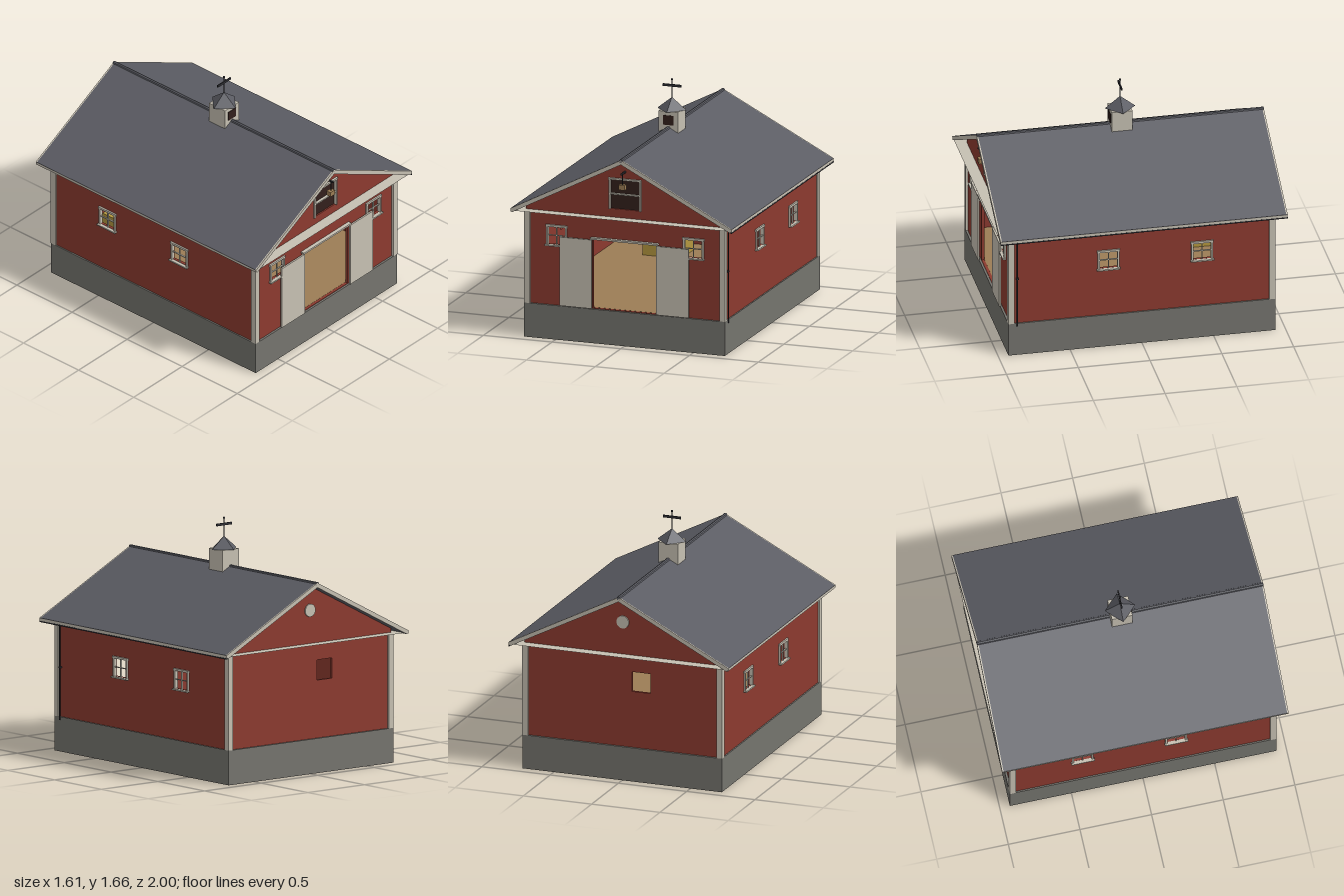
import * as THREE from 'three';

const mat = (color, side = THREE.FrontSide) => new THREE.MeshStandardMaterial({ color, side, flatShading: true });
const RED = mat(0x8c3a2f), CREAM = mat(0xc6c0b2), ROOF = mat(0x5b5c63), STONE = mat(0x75746e);
const TAN = mat(0x9c7d55), HAY = mat(0xb4973f), DARK = mat(0x33201c), METAL = mat(0x2e2e33);
const SOFFIT = mat(0xc6c0b2, THREE.DoubleSide);

const WX = 0.72, WZ = 0.915, T = 0.02; // outer wall faces and wall thickness
const BASE = 0.24, EAVE = 0.9;

function add(parent, name, geometry, material, x = 0, y = 0, z = 0) {
  const mesh = new THREE.Mesh(geometry, material);
  mesh.name = name;
  mesh.position.set(x, y, z);
  parent.add(mesh);
  return mesh;
}

// Box given by its minimum and maximum on each axis
function box(parent, name, material, [x0, x1], [y0, y1], [z0, z1]) {
  return add(parent, name, new THREE.BoxGeometry(x1 - x0, y1 - y0, z1 - z0), material,
    (x0 + x1) / 2, (y0 + y1) / 2, (z0 + z1) / 2);
}

function rod(parent, name, r, length, x, y, z, material = METAL) {
  return add(parent, name, new THREE.CylinderGeometry(r, r, length, 8), material, x, y, z);
}

// Flat outline with rectangular holes [x0, x1, y0, y1], extruded along z
function slab(points, depth, holes = []) {
  const shape = new THREE.Shape(points.map(([x, y]) => new THREE.Vector2(x, y)));
  for (const [x0, x1, y0, y1] of holes) {
    shape.holes.push(new THREE.Path([[x0, y0], [x0, y1], [x1, y1], [x1, y0]].map(([x, y]) => new THREE.Vector2(x, y))));
  }
  return new THREE.ExtrudeGeometry(shape, { depth, bevelEnabled: false }).translate(0, 0, -depth / 2);
}

// Four-pane window frame, facing +z around its own origin
function windowFrame(name) {
  const g = new THREE.Group();
  g.name = name;
  const w = 0.075, h = 0.072, t = 0.013, z = [-0.012, 0.012];
  for (const s of [-1, 1]) {
    add(g, 'windowJamb', new THREE.BoxGeometry(t, 2 * h, 0.024), CREAM, s * (w - t / 2), 0, 0);
  }
  box(g, 'windowHead', CREAM, [-w - 0.004, w + 0.004], [h - t, h + 0.002], z);
  box(g, 'windowSill', CREAM, [-w - 0.006, w + 0.006], [-h - 0.003, -h + 0.007], [-0.012, 0.024]);
  box(g, 'muntinUpright', CREAM, [-0.003, 0.003], [-h, h], [-0.005, 0.005]);
  box(g, 'muntinCross', CREAM, [-w, w], [-0.003, 0.003], [-0.005, 0.005]);
  return g;
}

export function createModel() {
  const barn = new THREE.Group();
  barn.name = 'barn';

  // Foundation and floor
  box(barn, 'foundation', STONE, [-0.73, 0.73], [0, BASE], [-0.93, 0.93]);
  box(barn, 'floor', TAN, [-WX + T, WX - T], [BASE, BASE + 0.005], [-WZ + T, WZ - T]);

  // Gable walls
  const gable = [[-WX, BASE], [WX, BASE], [WX, 0.93], [0, 1.305], [-WX, 0.93]];
  const frontWin = { x: 0.497, y: 0.732 };
  const winHole = (u, v) => [u - 0.066, u + 0.066, v - 0.064, v + 0.064];
  add(barn, 'frontWall', slab(gable, T, [
    [-0.235, 0.235, BASE + 0.004, 0.735],
    [-0.11, 0.11, 0.96, 1.17],
    winHole(-frontWin.x, frontWin.y), winHole(frontWin.x, frontWin.y),
  ]), RED, 0, 0, WZ - T / 2);
  add(barn, 'backWall', slab(gable, T, [[-0.2, -0.065, 0.64, 0.78]]), RED, 0, 0, -WZ + T / 2);

  // Side walls with two windows each
  const sideWinZ = [0.232, -0.42], sideWinY = 0.66;
  const sidePts = [[-WZ + T, BASE], [WZ - T, BASE], [WZ - T, 0.925], [-WZ + T, 0.925]];
  for (const s of [-1, 1]) {
    const side = s > 0 ? 'left' : 'right';
    const wall = add(barn, side + 'Wall', slab(sidePts, T, sideWinZ.map(z => winHole(z, sideWinY))), RED, s * (WX - T / 2));
    wall.rotation.y = -Math.PI / 2;
    for (const z of sideWinZ) {
      const win = windowFrame(side + 'Window');
      win.position.set(s * WX, sideWinY, z);
      win.rotation.y = s * Math.PI / 2;
      barn.add(win);
    }
    const win = windowFrame('frontWindow');
    win.position.set(s * frontWin.x, frontWin.y, WZ);
    barn.add(win);

    // Corner posts
    for (const e of [-1, 1]) {
      add(barn, 'cornerPost', new THREE.BoxGeometry(0.042, EAVE - BASE, 0.042), CREAM,
        s * 0.711, (EAVE + BASE) / 2, e * 0.909);
    }

    // Sliding door leaf, pushed open
    add(barn, 'slidingDoor', new THREE.BoxGeometry(0.235, 0.485, 0.012), CREAM, s * 0.3525, 0.4875, 0.934);

    // Eave fascia
    add(barn, 'eaveFascia', new THREE.BoxGeometry(0.01, 0.02, 1.998), CREAM, s * 0.799, 0.905, 0);
  }
  box(barn, 'doorTrack', CREAM, [-0.245, 0.245], [0.733, 0.746], [0.912, 0.942]);

  // Hay bale inside
  box(barn, 'hayBale', HAY, [-0.4, -0.12], [BASE, 0.4], [-0.75, -0.5]);

  // Roof slab, rake boards, ridge cap and soffit
  const chevron = [[0, 1.33], [-0.805, 0.915], [-0.792, 0.89], [0, 1.298], [0.792, 0.89], [0.805, 0.915]];
  add(barn, 'roof', slab(chevron, 1.98), ROOF);
  for (const e of [-1, 1]) add(barn, 'rakeBoard', slab(chevron, 0.01), CREAM, 0, 0, e * 0.995);
  rod(barn, 'ridgeCap', 0.014, 2, 0, 1.322, 0, ROOF).rotation.x = Math.PI / 2;
  const soffit = add(barn, 'soffit', new THREE.PlaneGeometry(1.59, 1.99), SOFFIT, 0, EAVE, 0);
  soffit.rotation.x = -Math.PI / 2;

  // Hayloft opening
  box(barn, 'loftRecess', DARK, [-0.112, 0.112], [0.958, 1.172], [WZ - 0.03, WZ - 0.01]);
  box(barn, 'loftHead', CREAM, [-0.12, 0.12], [1.167, 1.179], [WZ - 0.01, WZ + 0.016]);
  box(barn, 'loftRail', CREAM, [-0.11, 0.11], [1.061, 1.07], [WZ - 0.01, WZ + 0.01]);
  for (const s of [-1, 1]) {
    add(barn, 'loftJamb', new THREE.BoxGeometry(0.011, 0.212, 0.022), CREAM, s * 0.112, 1.064, WZ + 0.001);
  }

  // Hoist: beam, rope and block
  rod(barn, 'hoistBeam', 0.008, 0.09, 0, 1.227, 0.945).rotation.x = Math.PI / 2;
  rod(barn, 'hoistRope', 0.003, 0.08, 0, 1.187, 0.97);
  add(barn, 'hoistBlock', new THREE.BoxGeometry(0.045, 0.035, 0.035), TAN, 0, 1.133, 0.97);

  // Round vent on the back gable
  const vent = add(barn, 'backVent', new THREE.CylinderGeometry(0.045, 0.045, 0.012, 20), CREAM, 0, 1.13, -WZ - 0.003);
  vent.rotation.x = Math.PI / 2;

  // Gutter and downspout
  box(barn, 'gutter', METAL, [0.798, 0.805], [0.886, 0.895], [-1, 1]);
  box(barn, 'gutterOutlet', METAL, [0.73, 0.8], [0.885, 0.891], [0.865, 0.875]);
  rod(barn, 'downspout', 0.005, 0.67, 0.734, 0.555, 0.868);
  box(barn, 'downspoutBracket', METAL, [0.72, 0.74], [0.577, 0.587], [0.86, 0.876]);

  // Cupola with weather vane
  const cupola = new THREE.Group();
  cupola.name = 'cupola';
  barn.add(cupola);
  box(cupola, 'cupolaBody', CREAM, [-0.072, 0.072], [1.28, 1.44], [-0.072, 0.072]);
  box(cupola, 'cupolaLouver', DARK, [-0.038, 0.038], [1.345, 1.412], [0.07, 0.076]);
  add(cupola, 'cupolaRoof', new THREE.ConeGeometry(0.106, 0.085, 4), ROOF, 0, 1.4825, 0);
  rod(cupola, 'vaneRod', 0.004, 0.14, 0, 1.58, 0);
  box(cupola, 'vaneArm', METAL, [-0.066, 0.066], [1.598, 1.615], [-0.004, 0.004]);
  add(cupola, 'vaneBall', new THREE.SphereGeometry(0.008, 10, 8), METAL, 0, 1.65, 0);

  return barn;
}
